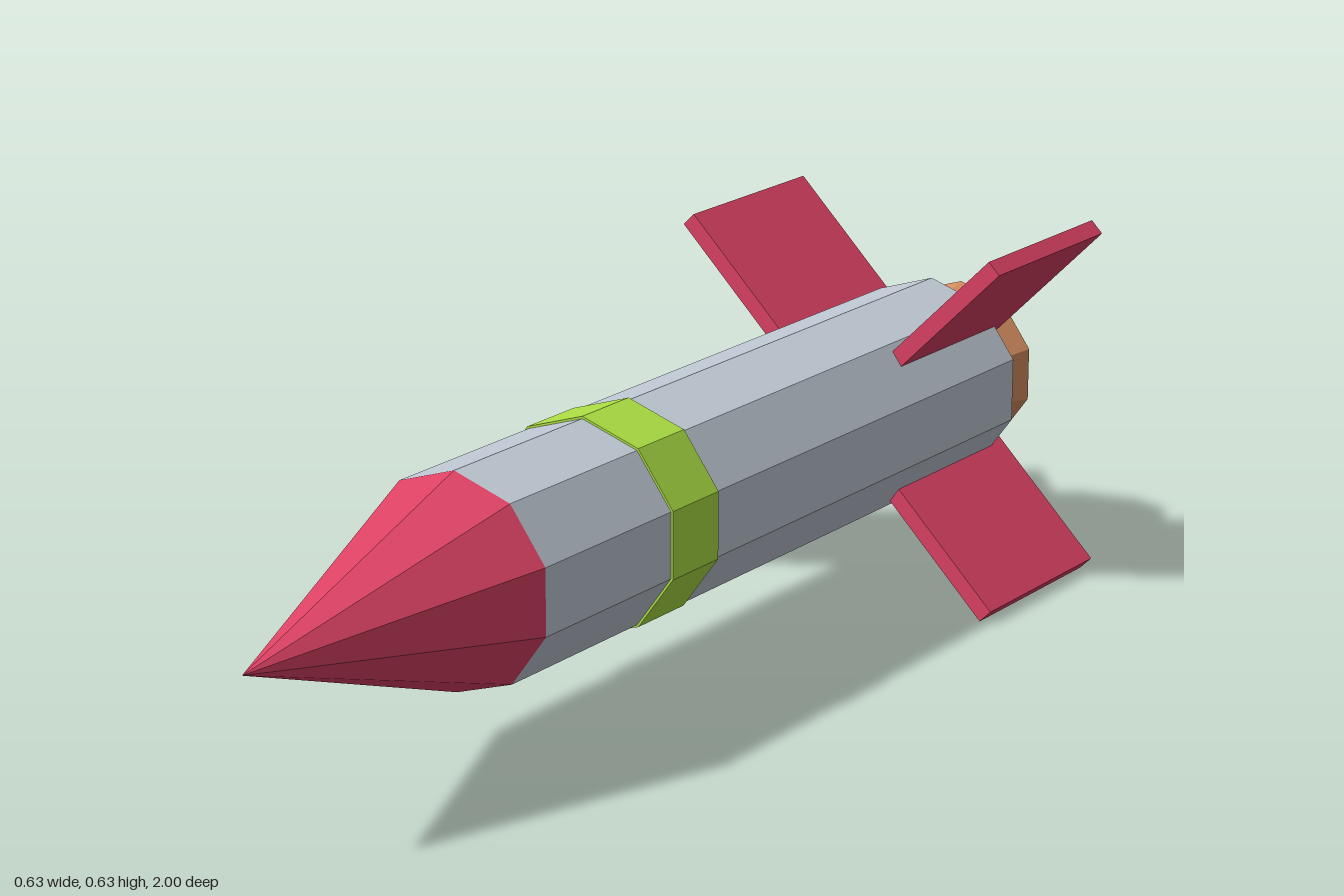
import * as THREE from 'three';

const AXIS_Y = 0.316; // height of the rocket's centre line
const SIDES = 10;

function material(name, color) {
  const m = new THREE.MeshStandardMaterial({ color, flatShading: true });
  m.name = name;
  return m;
}

export function createModel() {
  const rocket = new THREE.Group();
  rocket.name = 'rocket';

  const red = material('crimson', 0xdc4164);
  const grey = material('lightGrey', 0xc0c9d4);
  const green = material('lime', 0xacdf43);
  const copper = material('copper', 0xd68d60);

  // Ten-sided section along z, from zBack to zFront
  function section(name, mat, zBack, zFront, rBack, rFront) {
    const geo = new THREE.CylinderGeometry(rFront, rBack, zFront - zBack, SIDES);
    geo.rotateX(Math.PI / 2);
    const mesh = new THREE.Mesh(geo, mat);
    mesh.name = name;
    mesh.position.set(0, AXIS_Y, (zBack + zFront) / 2);
    rocket.add(mesh);
  }

  section('body', grey, -0.897, 0.497, 0.177, 0.177);
  section('noseCone', red, 0.497, 1, 0.177, 0);
  section('band', green, 0.038, 0.165, 0.181, 0.181);
  section('nozzle', copper, -1, -0.8, 0.149, 0.1);

  // Four diagonal tail fins, rooted inside the body
  const inner = 0.06, outer = 0.43;
  const finGeo = new THREE.BoxGeometry(outer - inner, 0.029, 0.352);
  finGeo.translate((inner + outer) / 2, 0, 0);
  for (let i = 0; i < 4; i++) {
    const fin = new THREE.Mesh(finGeo, red);
    fin.name = `fin${i + 1}`;
    fin.position.set(0, AXIS_Y, -0.759);
    fin.rotation.z = Math.PI / 4 + (i * Math.PI) / 2;
    rocket.add(fin);
  }

  return rocket;
}
